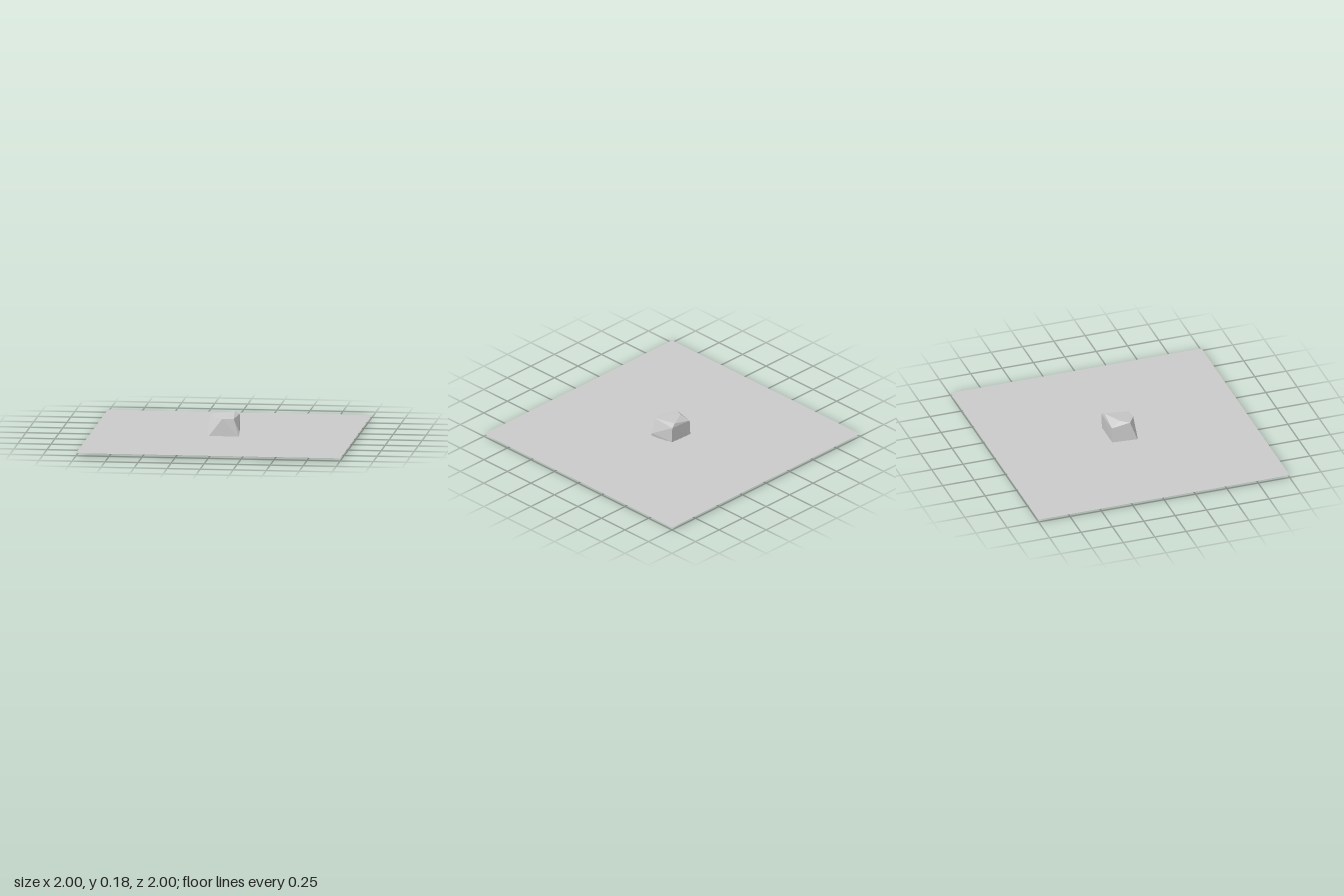
import * as THREE from 'three';
import { ConvexGeometry } from 'three/addons/geometries/ConvexGeometry.js';

export function createModel() {
  const model = new THREE.Group();
  const material = new THREE.MeshStandardMaterial({
    color: 0xcccccc, flatShading: true, side: THREE.DoubleSide,
  });

  // Flat square ground sheet, just above the lowest tip of the rock
  const ground = new THREE.Mesh(new THREE.PlaneGeometry(2, 2).rotateX(-Math.PI / 2), material);
  ground.name = 'groundSheet';
  ground.position.y = 0.02;
  model.add(ground);

  // Faceted rock: convex hull of its corners, slightly sunk into the ground
  const corners = [
    // crown
    [0, 0.153, 0.105], [0.085, 0.153, 0.097], [0.107, 0.158, -0.11],
    [0.07, 0.18, -0.1], [-0.065, 0.175, -0.025], [-0.1, 0.165, 0.045],
    [-0.092, 0.138, -0.096],
    // base, tilted down towards the front
    [-0.118, 0, 0.105], [0.122, 0.01, 0.1], [0.128, 0.042, 0.088],
    [0.107, 0.038, -0.107], [0.09, 0.024, -0.092], [-0.1, 0.018, -0.095],
  ].map((p) => new THREE.Vector3(...p));
  const rock = new THREE.Mesh(new ConvexGeometry(corners), material);
  rock.name = 'rock';
  model.add(rock);

  return model;
}
